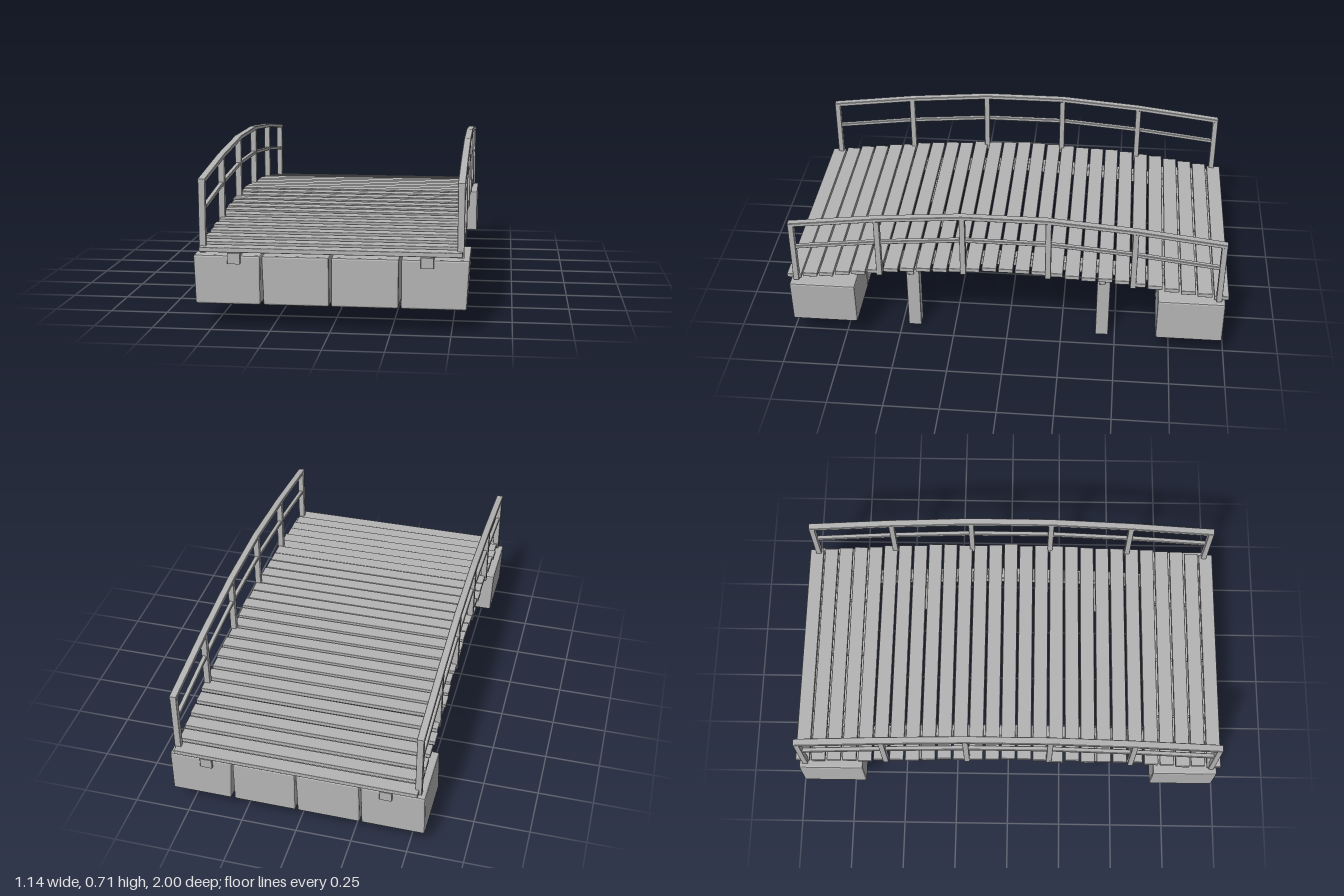
import * as THREE from 'three';
import { RoundedBoxGeometry } from 'three/addons/geometries/RoundedBoxGeometry.js';

export function createModel() {
  const bridge = new THREE.Group();
  bridge.name = 'footbridge';
  const grey = new THREE.MeshStandardMaterial({ color: 0xb4b4b4 });
  grey.name = 'plain grey';

  let seed = 7;
  const jitter = (a) => {
    seed = (seed * 16807) % 2147483647;
    return (seed / 2147483647 - 0.5) * 2 * a;
  };

  const add = (name, geometry, x = 0, y = 0, z = 0) => {
    const mesh = new THREE.Mesh(geometry, grey);
    mesh.name = name;
    mesh.position.set(x, y, z);
    bridge.add(mesh);
    return mesh;
  };
  const box = (name, w, h, d, x, y, z, r = 0.003) =>
    add(name, new RoundedBoxGeometry(w, h, d, 1, r), x, y, z);

  // Bent beam: its top edge follows [z, y] points
  const beam = (name, points, height, width, x) => {
    const lower = points.map(([z, y]) => [z, y - height]).reverse();
    const shape = new THREE.Shape([...points, ...lower].map(([z, y]) => new THREE.Vector2(z, y)));
    const bevel = 0.002;
    const geometry = new THREE.ExtrudeGeometry(shape, {
      depth: width - 2 * bevel, bevelThickness: bevel, bevelSize: bevel, bevelOffset: -bevel, bevelSegments: 1,
    });
    geometry.translate(0, 0, -(width / 2 - bevel));
    geometry.rotateY(-Math.PI / 2);
    add(name, geometry, x);
  };

  // Height of the deck's underside
  const arch = [[-0.995, 0.325], [-0.5, 0.39], [0, 0.42], [0.5, 0.39], [0.995, 0.325]];
  const deckY = (z) => {
    const a = Math.abs(z);
    return a < 0.5 ? 0.42 - 0.06 * a : 0.39 - (a - 0.5) * 0.131;
  };

  // Deck planks
  const count = 27;
  for (let i = 0; i < count; i++) {
    const z = -0.965 + (1.93 * i) / (count - 1);
    const plank = box('deckPlank', 1.09 + jitter(0.008), 0.02, 0.066, jitter(0.004), deckY(z) + 0.01, z);
    plank.rotation.y = jitter(0.002);
  }

  // Both sides: stringer, piles, posts and rails
  const postTops = [[-0.955, 0.63], [-0.57, 0.68], [-0.19, 0.712], [0.19, 0.712], [0.57, 0.68], [0.955, 0.63]];
  for (const side of [-1, 1]) {
    beam('stringer', arch, 0.045, 0.055, side * 0.4);
    for (const z of [-0.44, 0.44]) {
      box('pile', 0.062, 0.36, 0.06, side * 0.4, 0.18, z);
      box('pileBolt', 0.078, 0.035, 0.03, side * 0.4, 0.317, z + 0.008);
    }
    const railX = side * 0.535;
    for (const [z, top] of postTops) {
      const bottom = deckY(z) - 0.01;
      box('railPost', 0.029, top - bottom - 0.004, 0.026, railX, (top + bottom - 0.004) / 2, z);
    }
    const ends = postTops.map(([z, y]) => [z + Math.sign(z) * (Math.abs(z) > 0.9 ? 0.013 : 0), y]);
    beam('topRail', ends, 0.018, 0.032, railX);
    beam('middleRail', ends.map(([z, y]) => [z, y - 0.124]), 0.016, 0.02, railX);
  }

  // Abutment blocks, slightly irregular
  for (const end of [-1, 1]) {
    for (let i = 0; i < 4; i++) {
      const geometry = new RoundedBoxGeometry(0.281, 0.208, 0.3, 1, 0.008);
      const lean = jitter(0.03), taper = 0.02 + jitter(0.02);
      const p = geometry.attributes.position;
      for (let k = 0; k < p.count; k++) {
        const y = p.getY(k);
        p.setX(k, p.getX(k) * (1 + taper * (y / 0.2 - 0.5)) + lean * y);
      }
      geometry.computeVertexNormals();
      add('abutmentBlock', geometry, -0.43 + i * 0.2867, end > 0 ? 0.21 : 0.214, end * 0.834);
    }
  }
  return bridge;
}
